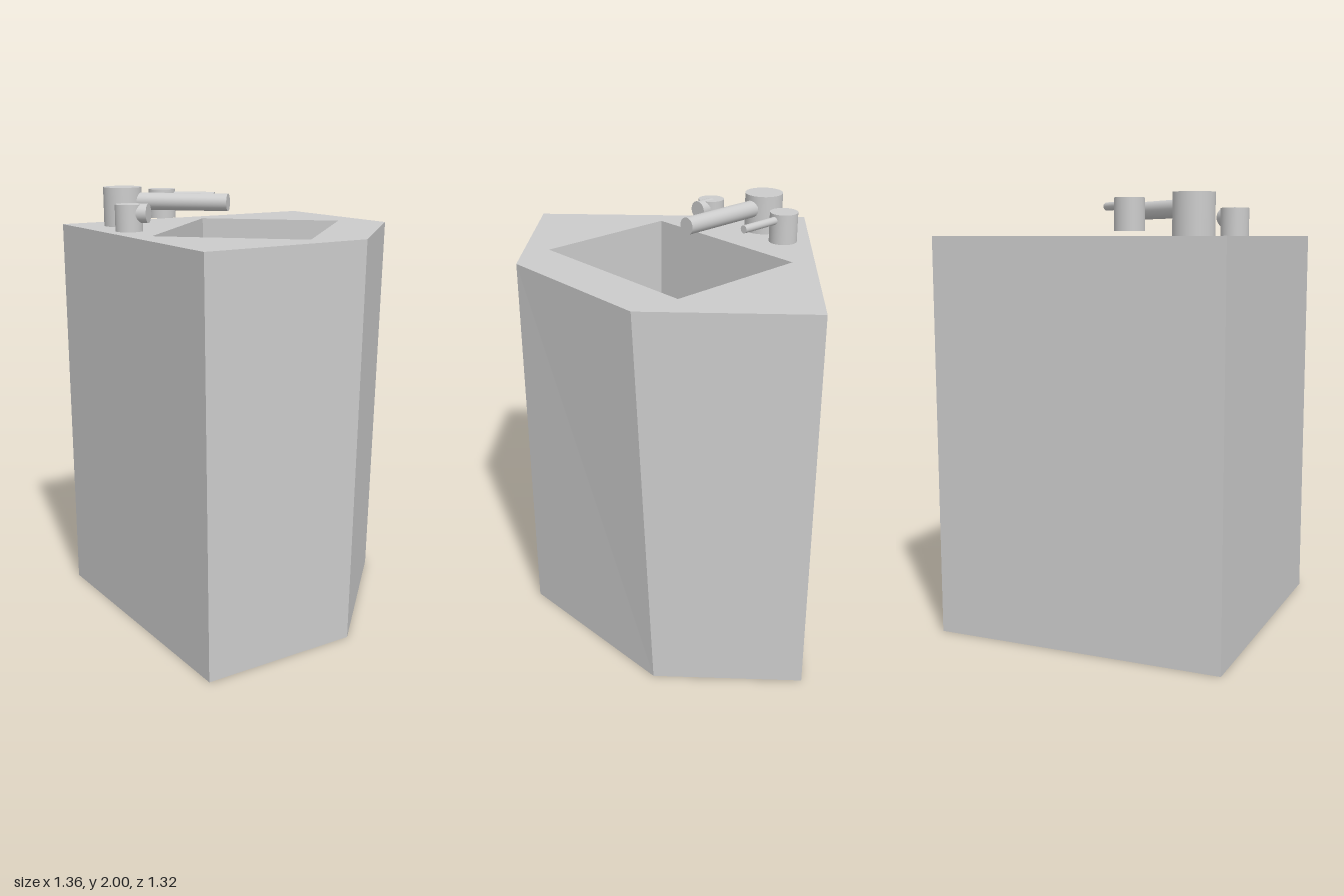
import * as THREE from 'three';

const TOP = 1.82;
const FLOOR = 1.37;

// Outlines as [x, z], going back-left, back-right, round to front-left
const baseOutline = [[-0.68, -0.66], [0.68, -0.66], [0.68, 0.03], [0.06, 0.66], [-0.68, 0.66]];
const topOutline = [[-0.68, -0.66], [0.68, -0.66], [0.68, 0.11], [0.12, 0.66], [-0.68, 0.66]];
const basinOutline = [[0.04, -0.56], [0.53, -0.07], [-0.09, 0.545], [-0.58, 0.055]];

const material = new THREE.MeshStandardMaterial({ color: 0xcccccc });
const flatMaterial = new THREE.MeshStandardMaterial({ color: 0xcccccc, flatShading: true });

function addMesh(parent, name, geometry, mat = material) {
  const mesh = new THREE.Mesh(geometry, mat);
  mesh.name = name;
  parent.add(mesh);
  return mesh;
}

// Flat sheet at height y, facing up (dir 1) or down (dir -1)
function sheet(outline, y, dir, hole) {
  const points = (loop) => loop.map(([x, z]) => new THREE.Vector2(x, -dir * z));
  const shape = new THREE.Shape(points(outline));
  if (hole) shape.holes.push(new THREE.Path(points(hole)));
  return new THREE.ShapeGeometry(shape).rotateX(-dir * Math.PI / 2).translate(0, y, 0);
}

// Walls joining two outlines; swapping the two turns the faces inward
function walls(loopA, yA, loopB, yB) {
  const positions = [];
  loopA.forEach((_, i) => {
    const j = (i + 1) % loopA.length;
    const a = [loopA[i][0], yA, loopA[i][1]];
    const b = [loopB[i][0], yB, loopB[i][1]];
    const c = [loopB[j][0], yB, loopB[j][1]];
    const d = [loopA[j][0], yA, loopA[j][1]];
    positions.push(...a, ...b, ...c, ...a, ...c, ...d);
  });
  const geometry = new THREE.BufferGeometry();
  geometry.setAttribute('position', new THREE.Float32BufferAttribute(positions, 3));
  geometry.computeVertexNormals();
  return geometry;
}

// Upright post with a level rod pointing diagonally over the basin
function tapPart(name, { x, z, radius, y0, y1, rodRadius, rodY, reach }) {
  const group = new THREE.Group();
  group.name = name;
  group.position.set(x, 0, z);
  const post = addMesh(group, name + 'Post', new THREE.CylinderGeometry(radius, radius, y1 - y0, 40));
  post.position.y = (y0 + y1) / 2;
  const rod = addMesh(group, name + 'Rod',
    new THREE.CylinderGeometry(rodRadius, rodRadius, reach, 32).rotateX(Math.PI / 2).translate(0, 0, reach / 2));
  rod.position.y = rodY;
  rod.rotation.y = Math.PI / 4;
  return group;
}

export function createModel() {
  const model = new THREE.Group();
  model.name = 'cornerSink';

  // Cabinet with a leaning diagonal front
  const cabinet = new THREE.Group();
  cabinet.name = 'cabinet';
  addMesh(cabinet, 'cabinetWalls', walls(baseOutline, 0, topOutline, TOP), flatMaterial);
  addMesh(cabinet, 'cabinetBottom', sheet(baseOutline, 0, -1), flatMaterial);
  addMesh(cabinet, 'countertop', sheet(topOutline, TOP, 1, basinOutline), flatMaterial);
  model.add(cabinet);

  // Sunken basin
  const basin = new THREE.Group();
  basin.name = 'basin';
  addMesh(basin, 'basinWalls', walls(basinOutline, TOP, basinOutline, FLOOR), flatMaterial);
  addMesh(basin, 'basinFloor', sheet(basinOutline, FLOOR, 1), flatMaterial);
  model.add(basin);

  // Spout and the two handles
  model.add(
    tapPart('spout', { x: -0.465, z: -0.445, radius: 0.09, y0: TOP, y1: 2, rodRadius: 0.04, rodY: 1.935, reach: 0.51 }),
    tapPart('backHandle', { x: -0.21, z: -0.528, radius: 0.065, y0: 1.84, y1: 1.978, rodRadius: 0.018, rodY: 1.948, reach: 0.265 }),
    tapPart('sideHandle', { x: -0.563, z: -0.192, radius: 0.062, y0: TOP, y1: 1.94, rodRadius: 0.043, rodY: 1.9, reach: 0.092 }),
  );
  return model;
}
